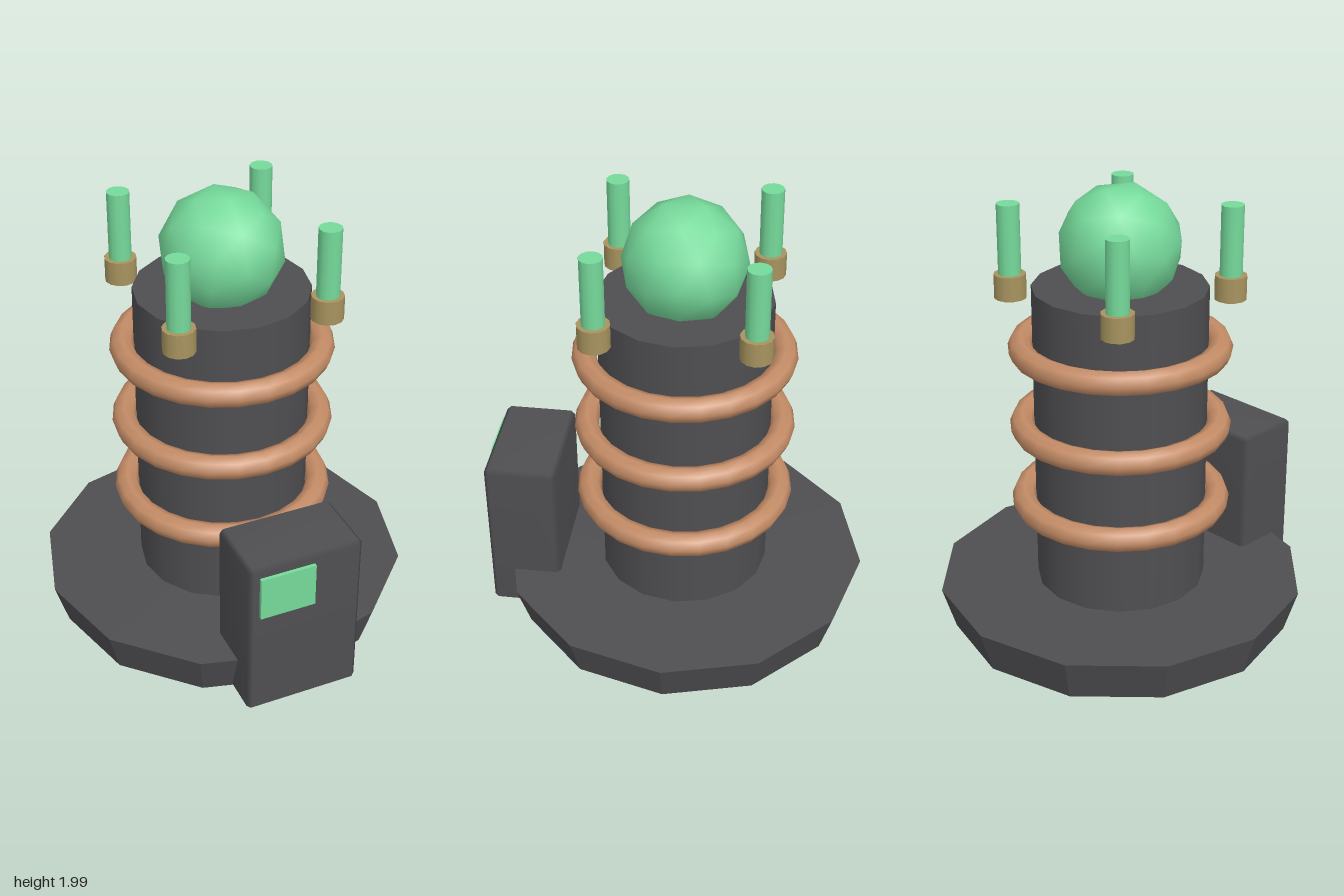
import * as THREE from 'three';
import { mergeVertices } from 'three/addons/utils/BufferGeometryUtils.js';
import { ConvexGeometry } from 'three/addons/geometries/ConvexGeometry.js';

const material = (name, color, flatShading = false) => {
  const m = new THREE.MeshStandardMaterial({ color, flatShading });
  m.name = name;
  return m;
};

// Box with chamfered edges and softly averaged normals
function chamferedBox(w, h, d, c) {
  const points = [];
  for (const sx of [-1, 1]) for (const sy of [-1, 1]) for (const sz of [-1, 1]) {
    for (let axis = 0; axis < 3; axis++) {
      const half = [w, h, d].map((s, i) => s / 2 - (i === axis ? 0 : c));
      points.push(new THREE.Vector3(sx * half[0], sy * half[1], sz * half[2]));
    }
  }
  const hull = new ConvexGeometry(points);
  hull.deleteAttribute('normal');
  const geometry = mergeVertices(hull);
  geometry.computeVertexNormals();
  return geometry;
}

export function createModel() {
  const model = new THREE.Group();
  model.name = 'energyCoil';
  const dark = material('darkMetal', 0x4f4f52);
  const copper = material('copper', 0xc48c66);
  const brass = material('brass', 0xa8945f);
  const glow = material('greenGlow', 0x76da9b);

  const add = (parent, name, geometry, mat, x, y, z) => {
    const mesh = new THREE.Mesh(geometry, mat);
    mesh.name = name;
    mesh.position.set(x, y, z);
    parent.add(mesh);
    return mesh;
  };

  // Everything round shares one axis, set slightly back
  const tower = new THREE.Group();
  tower.name = 'tower';
  tower.position.z = -0.03;
  model.add(tower);

  // Twelve-sided foot, wider at the top, with faceted sides
  const foot = new THREE.CylinderGeometry(0.815, 0.757, 0.19, 12).toNonIndexed();
  foot.computeVertexNormals();
  add(tower, 'base', foot, dark, 0, 0.105, 0);

  add(tower, 'column', new THREE.CylinderGeometry(0.375, 0.375, 1.4, 16), dark, 0, 0.86, 0);

  // Copper coils
  for (const y of [0.585, 0.94, 1.295]) {
    const ring = add(tower, 'coilRing', new THREE.TorusGeometry(0.427, 0.053, 8, 24), copper, 0, y, 0);
    ring.rotation.x = Math.PI / 2;
  }

  // Orb on top, turned so that one corner points up
  const orb = new THREE.IcosahedronGeometry(0.265, 1);
  orb.rotateX(-Math.atan(2 / (1 + Math.sqrt(5))));
  orb.rotateY(-Math.PI / 2);
  add(tower, 'orb', orb, glow, 0, 1.735, 0);

  // Four glowing rods in brass collars
  const collar = new THREE.CylinderGeometry(0.069, 0.069, 0.105, 12);
  const rod = new THREE.CylinderGeometry(0.049, 0.049, 0.36, 12);
  for (const x of [-0.326, 0.326]) for (const z of [-0.326, 0.326]) {
    add(tower, 'rodCollar', collar, brass, x, 1.558, z);
    add(tower, 'rod', rod, glow, x, 1.732, z);
  }

  // Control cabinet with its screen at the front
  add(model, 'controlBox', chamferedBox(0.51, 0.757, 0.318, 0.019), dark, 0, 0.3785, 0.667);
  add(model, 'screen', new THREE.BoxGeometry(0.245, 0.2, 0.018), glow, -0.088, 0.61, 0.833);

  return model;
}
